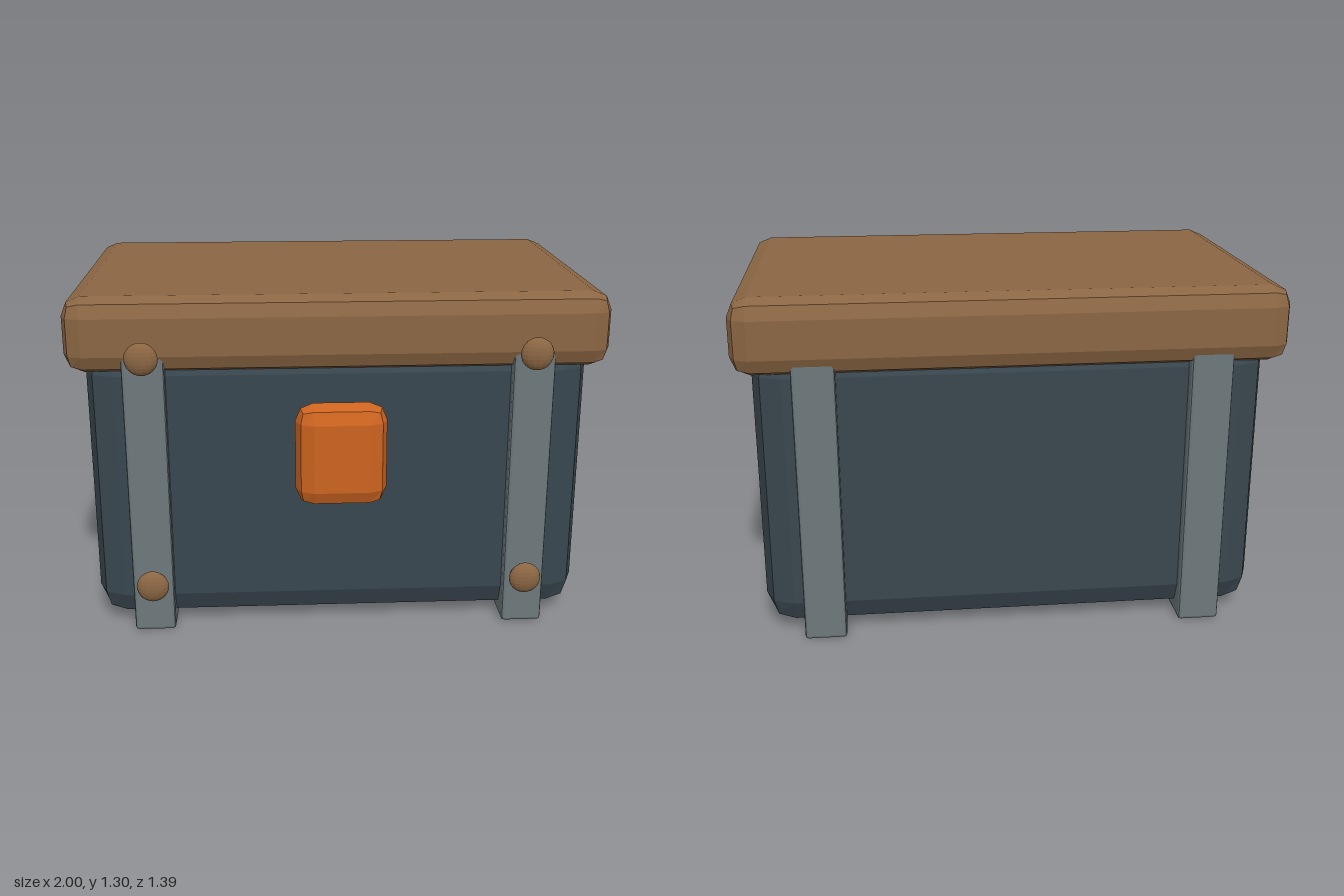
import * as THREE from 'three';

const material = (name, color) => {
  const m = new THREE.MeshStandardMaterial({ color });
  m.name = name;
  return m;
};

// Faceted look: every face keeps its own normal
function faceted(geometry) {
  const g = geometry.toNonIndexed();
  g.computeVertexNormals();
  return g;
}

// Box whose edges are rounded by two flat bevel strips
function bevelBox(w, h, d, r) {
  const g = new THREE.BoxGeometry(1, 1, 1, 3, 3, 3);
  const p = g.attributes.position;
  const inner = new THREE.Vector3(w / 2 - r, h / 2 - r, d / 2 - r);
  const v = new THREE.Vector3(), dir = new THREE.Vector3();
  const outer = (t) => (Math.abs(t) > 0.4 ? Math.sign(t) : 0);
  for (let i = 0; i < p.count; i++) {
    v.fromBufferAttribute(p, i);
    dir.set(outer(v.x), outer(v.y), outer(v.z)).normalize().multiplyScalar(r);
    v.set(Math.sign(v.x), Math.sign(v.y), Math.sign(v.z)).multiply(inner).add(dir);
    p.setXYZ(i, v.x, v.y, v.z);
  }
  return faceted(g);
}

export function createModel() {
  const group = new THREE.Group();
  group.name = 'chest';
  const wood = material('brown wood', 0x8b6643);
  const slate = material('dark slate', 0x39474f);
  const steel = material('grey steel', 0x6d797d);
  const orange = material('orange latch', 0xcd6420);

  const add = (name, geometry, mat, x, y, z) => {
    const mesh = new THREE.Mesh(geometry, mat);
    mesh.name = name;
    mesh.position.set(x, y, z);
    group.add(mesh);
  };

  // Main box and overhanging lid
  add('body', bevelBox(1.876, 1.1, 1.16, 0.11), slate, 0, 0.57, -0.06);
  add('lid', bevelBox(2, 0.28, 1.266, 0.07), wood, 0, 1.165, -0.064);

  // Front latch
  add('latch', bevelBox(0.335, 0.39, 0.138, 0.066), orange, 0, 0.737, 0.628);

  // Straps around the box, each with two flattened rivets
  const strap = bevelBox(0.155, 1.12, 1.25, 0.012);
  const rivet = faceted(new THREE.SphereGeometry(0.061, 16, 12).scale(1, 1, 0.5));
  for (const [side, x] of [['left', 0.714], ['right', -0.714]]) {
    add(`${side}Strap`, strap, steel, x, 0.56, -0.06);
    add(`${side}UpperRivet`, rivet, wood, x, 1.094, 0.592);
    add(`${side}LowerRivet`, rivet, wood, x, 0.2, 0.592);
  }
  return group;
}
